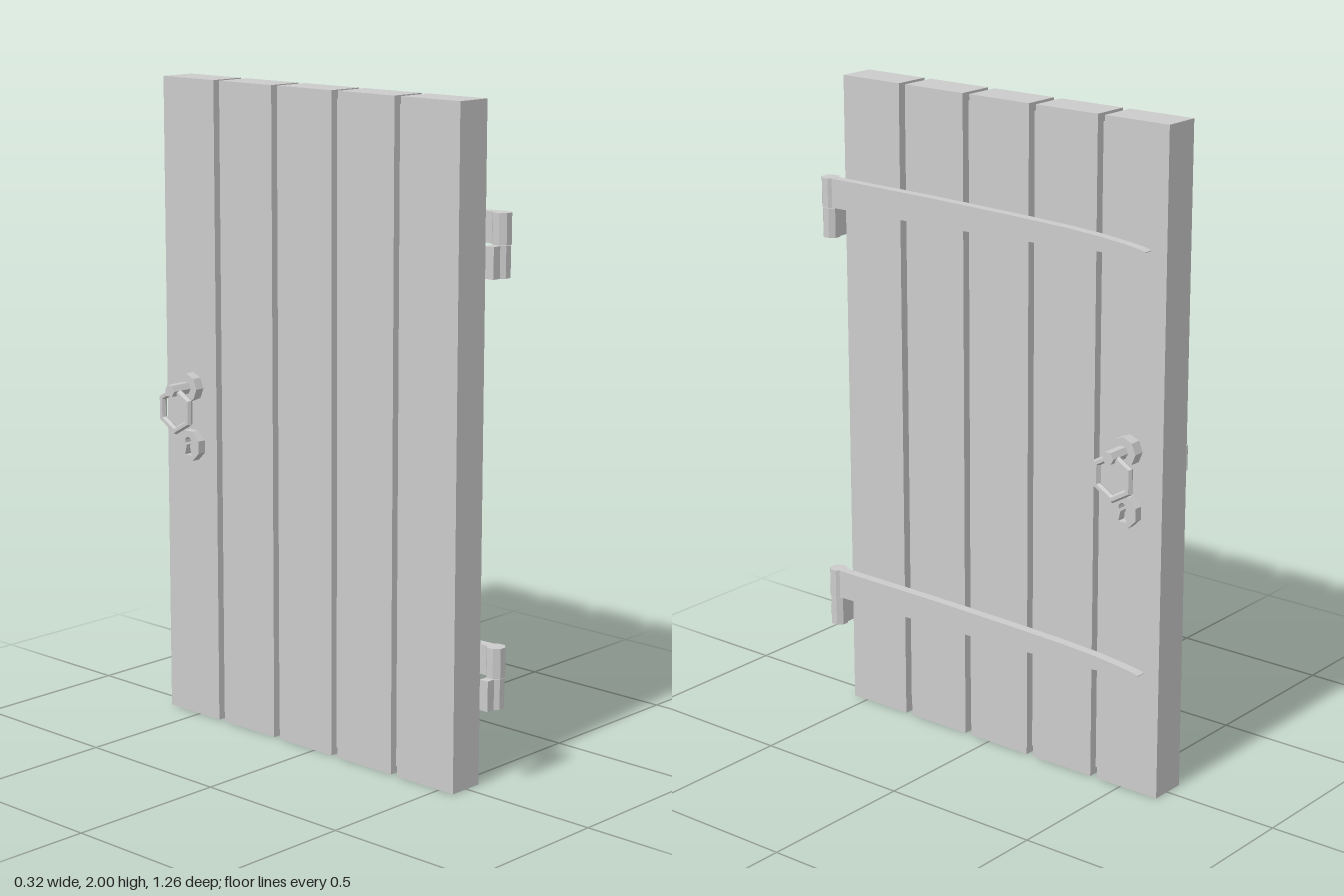
import * as THREE from 'three';

export function createModel() {
  const door = new THREE.Group();
  door.name = 'plankDoor';
  const mat = new THREE.MeshStandardMaterial({ color: 0xcccccc, flatShading: true });

  const add = (name, geo, x, y, z, parent = door) => {
    const mesh = new THREE.Mesh(geo, mat);
    mesh.name = name;
    mesh.position.set(x, y, z);
    parent.add(mesh);
    return mesh;
  };
  // extrude a shape so that its depth runs along +x (side 1) or -x (side -1)
  const extrudeX = (shape, depth, side = 1) =>
    new THREE.ExtrudeGeometry(shape, { depth, bevelEnabled: false, curveSegments: 4 })
      .rotateY(side * Math.PI / 2);
  // cylinder lying along x
  const rodX = (r, length, sides) =>
    new THREE.CylinderGeometry(r, r, length, sides).rotateZ(Math.PI / 2);

  // planks with thinner, shorter strips in the gaps between them
  const pitch = 0.2417, plankWidth = 0.217, middle = -0.0385;
  for (let i = -2; i <= 2; i++) {
    const z = middle + i * pitch;
    add('plank', new THREE.BoxGeometry(0.115, 2, plankWidth), -0.0025, 1, z);
    if (i < 2) {
      add('gapStrip', new THREE.BoxGeometry(0.065, 1.955, pitch - plankWidth + 0.004),
        -0.004, 0.9975, z + pitch / 2);
    }
  }

  // tapering strap hinges
  const half = [[-0.602, 0.045], [-0.2, 0.041], [0.1, 0.035], [0.3, 0.029],
    [0.42, 0.022], [0.51, 0.013], [0.56, 0.006], [0.578, 0.001]];
  const outline = [
    ...half.map(([u, h]) => new THREE.Vector2(u, -h)),
    ...half.slice().reverse().map(([u, h]) => new THREE.Vector2(u, h)),
  ];
  for (const y of [1.643, 0.384]) {
    const hinge = new THREE.Group();
    hinge.name = 'hinge';
    hinge.position.y = y;
    door.add(hinge);
    add('strap', extrudeX(new THREE.Shape(outline), 0.031), 0.054, 0, 0, hinge);
    const knuckle = new THREE.CylinderGeometry(0.029, 0.029, 0.09, 8).rotateY(Math.PI / 8);
    add('knuckle', knuckle, 0.067, 0, 0.602, hinge);
    const pin = new THREE.CylinderGeometry(0.027, 0.027, 0.092, 8).rotateY(Math.PI / 8);
    add('pin', pin, 0.067, -0.093, 0.602, hinge);
    add('pinBracket', new THREE.BoxGeometry(0.05, 0.092, 0.03), 0.042, -0.093, 0.6, hinge);
  }

  // keyhole plate outline
  const plate = new THREE.Shape();
  for (let i = 0; i < 8; i++) {
    const a = (i + 0.5) * Math.PI / 4;
    plate[i ? 'lineTo' : 'moveTo'](0.05 * Math.cos(a), 0.05 * Math.sin(a));
  }
  plate.closePath();
  const keyhole = new THREE.Path();
  keyhole.moveTo(-0.014, -0.03);
  keyhole.lineTo(0.014, -0.03);
  keyhole.lineTo(0.007, 0.001);
  keyhole.absarc(0, 0.013, 0.0139, -Math.PI / 3, Math.PI * 4 / 3, false);
  keyhole.closePath();
  plate.holes.push(keyhole);

  // handle and lock on both faces
  const lockZ = -0.512;
  add('spindle', rodX(0.02, 0.32, 6), 0, 1.055, lockZ - 0.003);
  for (const side of [1, -1]) {
    add('handleRose', rodX(0.045, 0.045, 8), side * 0.0675, 1.055, lockZ - 0.003);
    const ring = new THREE.TorusGeometry(0.065, 0.012, 6, 6)
      .rotateZ(Math.PI / 6).rotateY(Math.PI / 2);
    add('ringHandle', ring, side * 0.134, 0.992, lockZ - 0.003);
    add('keyholePlate', extrudeX(plate, 0.028, side), side === 1 ? 0.054 : -0.059, 0.873, lockZ);
  }
  return door;
}
